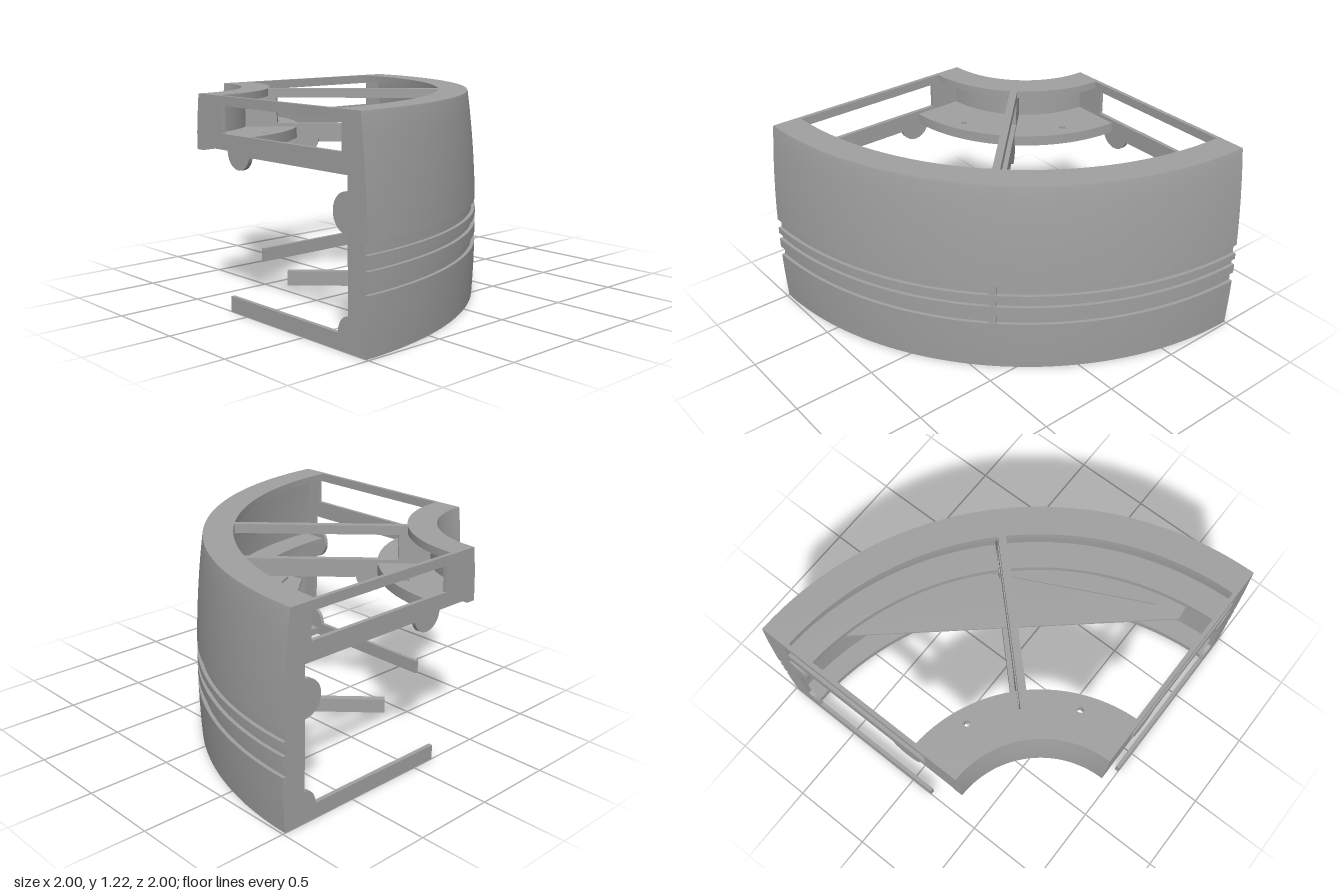
import * as THREE from 'three';
import { mergeGeometries, toCreasedNormals } from 'three/addons/utils/BufferGeometryUtils.js';

const QUARTER = Math.PI / 2;
const grey = new THREE.MeshStandardMaterial({ color: 0xa0a0a0, side: THREE.DoubleSide });
grey.name = 'plain grey';

// Barrel curve of the outer wall
const wallRadius = (y) => 2 - 0.084 * (y - 0.42) ** 2;

// Closed (radius, height) profile turned through a quarter, with end caps
function sweep(points) {
  const v = points.map(([r, y]) => new THREE.Vector2(r, y));
  const lathe = new THREE.LatheGeometry([...v, v[0].clone()], 64, 0, QUARTER);
  const capA = new THREE.ShapeGeometry(new THREE.Shape(v)).rotateY(-QUARTER);
  const capB = new THREE.ShapeGeometry(new THREE.Shape(v));
  capB.setIndex(Array.from(capB.index.array).reverse());
  return toCreasedNormals(mergeGeometries([lathe, capA, capB]), 0.5);
}

// Flat quarter ring with optional screw holes
function flatRing(inner, outer, top, height, holeRadius = 0) {
  const s = new THREE.Shape();
  s.absarc(0, 0, outer, 0, QUARTER, false);
  s.absarc(0, 0, inner, QUARTER, 0, true);
  s.closePath();
  if (holeRadius) {
    for (const a of [QUARTER / 4, QUARTER * 3 / 4]) {
      const hole = new THREE.Path();
      hole.absarc(holeRadius * Math.cos(a), holeRadius * Math.sin(a), 0.018, 0, Math.PI * 2, true);
      s.holes.push(hole);
    }
  }
  return slab(s, top, height);
}

// Horizontal plate from a plan shape (plan x, plan z)
function slab(shape, top, height) {
  const g = new THREE.ExtrudeGeometry(shape, { depth: height, bevelEnabled: false, curveSegments: 48 });
  g.rotateX(QUARTER).translate(0, top, 0);
  return toCreasedNormals(g, 0.5);
}

// Shelf with a straight inner edge between two angles
function chordShelf(a0, a1, top, outer) {
  const s = new THREE.Shape();
  s.moveTo(1.77 * Math.cos(a0), 1.77 * Math.sin(a0));
  s.absarc(0, 0, outer, a0, a1, false);
  s.lineTo(1.77 * Math.cos(a1), 1.77 * Math.sin(a1));
  s.closePath();
  return slab(s, top, 0.015);
}

// Radial frame: column, top bars, rounded lobes and foot bar
function frameGeometry(thickness, offset, phi) {
  const s = new THREE.Shape();
  s.moveTo(0.85, 0);
  s.lineTo(1.95, 0);
  for (const y of [0.2, 0.4, 0.6, 0.8, 1, 1.22]) s.lineTo(wallRadius(y) - 0.04, y);
  s.lineTo(0.59, 1.22);
  s.lineTo(0.575, 0.92);
  s.lineTo(0.85, 0.92);
  s.absarc(0.95, 0.92, 0.1, Math.PI, Math.PI * 2, false);
  s.lineTo(1.05, 0.9);
  s.lineTo(1.85, 0.9);
  s.absarc(1.85, 0.71, 0.11, QUARTER, QUARTER * 3, false);
  s.lineTo(1.85, 0.19);
  s.quadraticCurveTo(1.78, 0.18, 1.77, 0.09);
  s.lineTo(0.85, 0.09);
  s.closePath();
  const slot = new THREE.Path();
  slot.moveTo(0.8, 1.01);
  slot.lineTo(0.8, 1.165);
  slot.lineTo(1.81, 1.165);
  slot.lineTo(1.81, 1.01);
  slot.closePath();
  s.holes.push(slot);
  const g = new THREE.ExtrudeGeometry(s, { depth: thickness, bevelEnabled: false, curveSegments: 16 });
  g.translate(0, 0, offset).rotateY(phi - QUARTER);
  return toCreasedNormals(g, 0.5);
}

export function createModel() {
  const model = new THREE.Group();
  model.name = 'quarter ring housing';
  const add = (name, geometry) => {
    const m = new THREE.Mesh(geometry, grey);
    m.name = name;
    m.position.set(-1, 0, -1);
    model.add(m);
    return m;
  };

  // Outer wall with three shallow grooves
  const grooves = [[0.325, 0.385], [0.445, 0.485], [0.525, 0.585]];
  const outer = [0, 0.1, 0.2].map((y) => [wallRadius(y), y]);
  for (const [lo, hi] of grooves) {
    outer.push([wallRadius(lo), lo], [wallRadius(lo) - 0.022, lo],
      [wallRadius(hi) - 0.022, hi], [wallRadius(hi), hi]);
  }
  for (const y of [0.7, 0.8, 0.9, 1, 1.1, 1.21]) outer.push([wallRadius(y), y]);
  outer.push([1.945, 1.22]);
  const inner = [1.22, 1, 0.8, 0.6, 0.4, 0.2, 0].map((y) => [wallRadius(y) - 0.05, y]);
  add('outerWall', sweep([...outer, ...inner]));

  // Bridges across the grooves
  for (const [lo, hi] of grooves) {
    const g = new THREE.BoxGeometry(0.045, hi - lo, 0.04);
    g.translate(0, (lo + hi) / 2, 1.975).rotateY(QUARTER / 2);
    add('grooveBridge', g);
  }

  // Rims and shelves inside the outer wall
  add('topRim', flatRing(1.77, 1.935, 1.22, 0.045));
  add('bottomRim', flatRing(1.81, 1.96, 0.05, 0.05, 1.88));
  add('innerShelf', flatRing(1.77, 1.96, 0.75, 0.04));
  add('straightShelf', chordShelf(0.137, QUARTER - 0.137, 0.5, 1.96));
  add('upperStraightShelf', chordShelf(0.612, 1.343, 0.56, 1.96));

  // Inner hub: curved wall, top rim and lower ledge
  add('hubWall', sweep([[0.55, 0.9], [0.61, 0.9], [0.61, 1.22], [0.577, 1.22],
    [0.562, 1.1], [0.553, 1]]));
  add('hubRim', flatRing(0.58, 0.75, 1.22, 0.045));
  add('hubLedge', flatRing(0.58, 0.92, 0.99, 0.065, 0.83));

  // Radial frames at both ends and in the middle
  add('endFrame', frameGeometry(0.025, -0.025, 0));
  add('endFrame', frameGeometry(0.025, 0, QUARTER));
  add('middleFrame', frameGeometry(0.045, -0.0225, QUARTER / 2));
  return model;
}
